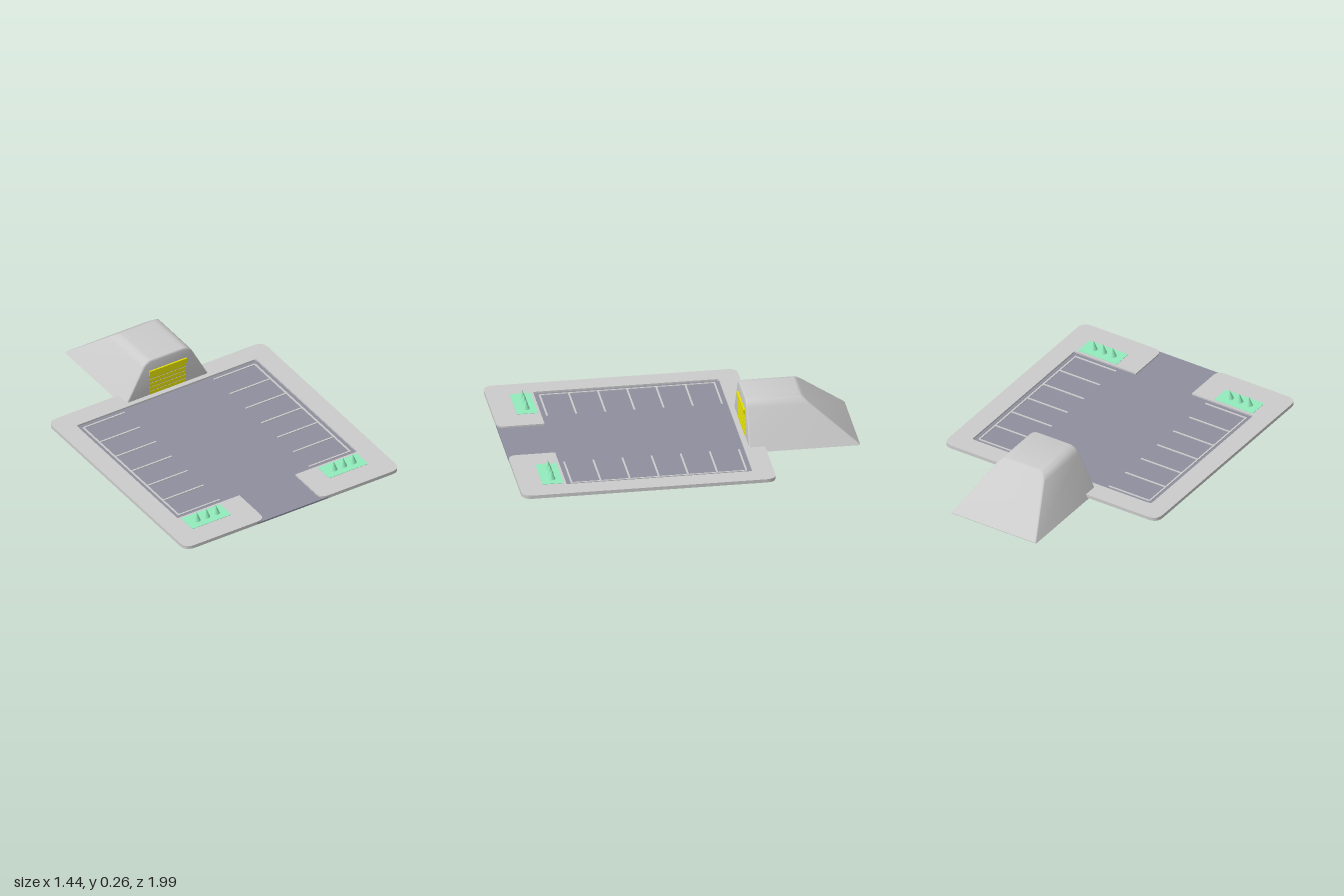
import * as THREE from 'three';
import { toCreasedNormals } from 'three/addons/utils/BufferGeometryUtils.js';

const mat = (color) => new THREE.MeshStandardMaterial({ color });
const grey = mat(0xcccccc), asphalt = mat(0x8e8e9e), green = mat(0x92ecbc), yellow = mat(0xe6e200);

function add(parent, name, geometry, material, x = 0, y = 0, z = 0) {
  const mesh = new THREE.Mesh(geometry, material);
  mesh.name = name;
  mesh.position.set(x, y, z);
  parent.add(mesh);
  return mesh;
}

// closed outline from [x, y, cornerRadius] points
function roundedShape(points) {
  const s = new THREE.Shape();
  const n = points.length;
  points.forEach(([x, y, r = 0], i) => {
    const p = new THREE.Vector2(x, y);
    const toward = (q) => new THREE.Vector2(q[0], q[1]).sub(p).setLength(r).add(p);
    const a = r ? toward(points[(i + n - 1) % n]) : p;
    const b = r ? toward(points[(i + 1) % n]) : p;
    if (i === 0) s.moveTo(a.x, a.y); else s.lineTo(a.x, a.y);
    if (r) s.quadraticCurveTo(x, y, b.x, b.y);
  });
  s.closePath();
  return s;
}

// flat plate from [x, z, radius] points, lying on y = 0
function plate(points, height) {
  const shape = roundedShape(points.map(([x, z, r]) => [x, -z, r]));
  const geo = new THREE.ExtrudeGeometry(shape, { depth: height, bevelEnabled: false, curveSegments: 6 });
  return toCreasedNormals(geo.rotateX(-Math.PI / 2), 0.6);
}

export function createModel() {
  const group = new THREE.Group();
  group.name = 'parkingLot';

  // pavement frame with an open driveway at the front
  const W = 0.718, back = -0.45, inX = 0.6, inBack = -0.33, inFront = 0.73, gate = 0.187;
  add(group, 'pavement', plate([
    [-W, back, 0.06], [-W, 1, 0.06], [-gate, 1, 0.05], [-gate, inFront],
    [-inX, inFront], [-inX, inBack, 0.015], [inX, inBack, 0.015], [inX, inFront],
    [gate, inFront], [gate, 1, 0.05], [W, 1, 0.06], [W, back, 0.06],
  ], 0.02), grey, 0, 0.01, 0);

  // sunken road surface
  add(group, 'asphalt', plate([
    [-inX, inBack], [-inX, inFront], [-gate, inFront], [-gate, 0.95], [-gate - 0.013, 0.987], [-gate - 0.05, 1],
    [gate + 0.05, 1], [gate + 0.013, 0.987], [gate, 0.95], [gate, inFront], [inX, inFront], [inX, inBack],
  ], 0.01), asphalt, 0, 0.01, 0);

  for (const side of [-1, 1]) {
    const prefix = side > 0 ? 'left' : 'right';

    // bay markings
    const bays = new THREE.Group();
    bays.name = prefix + 'BayMarkings';
    group.add(bays);
    add(bays, 'sideLine', new THREE.BoxGeometry(0.01, 0.005, 1.005), grey, side * 0.572, 0.0215, 0.2);
    for (let i = 0; i < 7; i++) {
      add(bays, 'bayLine', new THREE.BoxGeometry(0.272, 0.005, 0.01), grey, side * 0.435, 0.0215, -0.3 + i * 0.1662);
    }

    // planting bed with three conical shrubs
    const bed = new THREE.Group();
    bed.name = prefix + 'PlantingBed';
    group.add(bed);
    add(bed, 'grass', new THREE.BoxGeometry(0.258, 0.004, 0.12), green, side * 0.457, 0.03, 0.805);
    for (let i = -1; i <= 1; i++) {
      add(bed, 'shrub', new THREE.ConeGeometry(0.024, 0.057, 20), green, side * 0.457 + i * 0.064, 0.0585, 0.805);
    }
  }

  // ramp housing: trapezoid extruded along z, its back end sloped
  const cx = 0.028, H = 0.265, bevel = 0.01;
  const housing = new THREE.Group();
  housing.name = 'rampHousing';
  group.add(housing);
  const profile = roundedShape([[-0.284, 0.003], [0.284, 0.003], [0.145, H, 0.045], [-0.145, H, 0.045]]);
  const geo = new THREE.ExtrudeGeometry(profile, {
    depth: 0.64 - 2 * bevel, bevelThickness: bevel, bevelSize: bevel, bevelOffset: -bevel,
    bevelSegments: 3, curveSegments: 6,
  });
  geo.translate(0, 0, -1 + bevel);
  const pos = geo.attributes.position;
  for (let i = 0; i < pos.count; i++) {
    if (pos.getZ(i) < -0.68) pos.setZ(i, pos.getZ(i) + 0.32 * pos.getY(i) / H);
  }
  geo.computeVertexNormals();
  add(housing, 'shell', toCreasedNormals(geo, 0.6), grey, cx, 0, 0);

  // roller door: horizontal slats below a protruding box
  add(housing, 'doorBox', new THREE.BoxGeometry(0.245, 0.03, 0.03), yellow, cx, 0.18, -0.365);
  for (let i = 0; i < 6; i++) {
    add(housing, 'doorSlat', new THREE.BoxGeometry(0.245, 0.02, 0.02), yellow, cx, 0.151 - i * 0.0272, -0.368);
  }
  add(housing, 'doorSill', new THREE.BoxGeometry(0.245, 0.008, 0.02), yellow, cx, 0.006, -0.366);

  return group;
}
